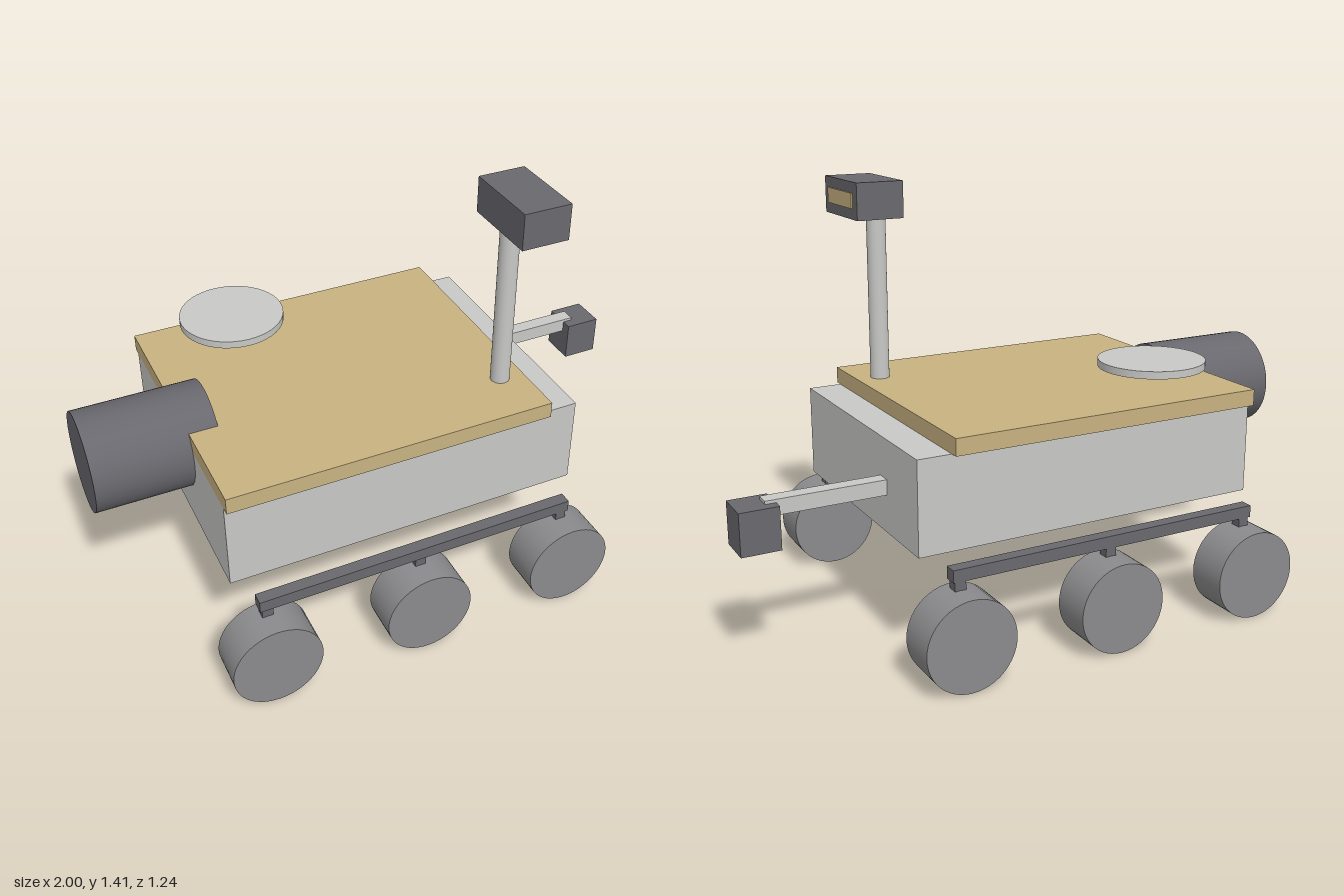
import * as THREE from 'three';

const mat = (name, color) => {
  const m = new THREE.MeshStandardMaterial({ color });
  m.name = name;
  return m;
};

export function createModel() {
  const shell = mat('light grey shell', 0xc8c8c6);
  const gold = mat('gold panel', 0xc8b281);
  const dark = mat('dark metal', 0x69686e);
  const tyre = mat('wheel grey', 0x8b8b8d);
  const model = new THREE.Group();
  model.name = 'rover';

  const add = (name, geometry, material, x, y, z) => {
    const mesh = new THREE.Mesh(geometry, material);
    mesh.name = name;
    mesh.position.set(x, y, z);
    model.add(mesh);
    return mesh;
  };
  // Box given by its extents along each axis
  const box = (name, material, [x0, x1], [y0, y1], [z0, z1]) =>
    add(name, new THREE.BoxGeometry(x1 - x0, y1 - y0, z1 - z0), material,
      (x0 + x1) / 2, (y0 + y1) / 2, (z0 + z1) / 2);
  const cylinder = (name, material, r, h, x, y, z) =>
    add(name, new THREE.CylinderGeometry(r, r, h, 48), material, x, y, z);

  // Body and top deck
  box('body', shell, [-0.685, 0.525], [0.375, 0.68], [-0.44, 0.44]);
  box('deck', gold, [-0.685, 0.413], [0.68, 0.735], [-0.468, 0.468]);

  // Power unit at the rear, lying along x
  cylinder('powerUnit', dark, 0.165, 0.41, -0.795, 0.635, 0).rotation.z = Math.PI / 2;

  // Antenna dish
  cylinder('antennaDish', shell, 0.175, 0.025, -0.383, 0.829, -0.305);

  // Mast with camera head
  cylinder('mast', shell, 0.032, 0.56, 0.33, 1.012, 0.277);
  box('cameraHead', dark, [0.29, 0.45], [1.29, 1.41], [0.14, 0.413]);
  box('cameraWindow', gold, [0.449, 0.455], [1.325, 1.375], [0.176, 0.38]);

  // Instrument arm
  box('arm', shell, [0.52, 0.91], [0.5, 0.55], [-0.217, -0.167]);
  box('armTool', dark, [0.876, 1], [0.403, 0.54], [-0.252, -0.13]);

  // Suspension beam, struts and wheels on both sides
  for (const side of [-1, 1]) {
    const z = side * 0.525;
    box('suspensionBeam', dark, [-0.63, 0.465], [0.324, 0.364], [z - 0.021, z + 0.021]);
    for (const x of [-0.605, -0.083, 0.44]) {
      box('strut', dark, [x - 0.018, x + 0.018], [0.2, 0.326], [z - 0.018, z + 0.018]);
      cylinder('wheel', tyre, 0.148, 0.14, x, 0.148, side * 0.549).rotation.x = Math.PI / 2;
    }
  }
  return model;
}
